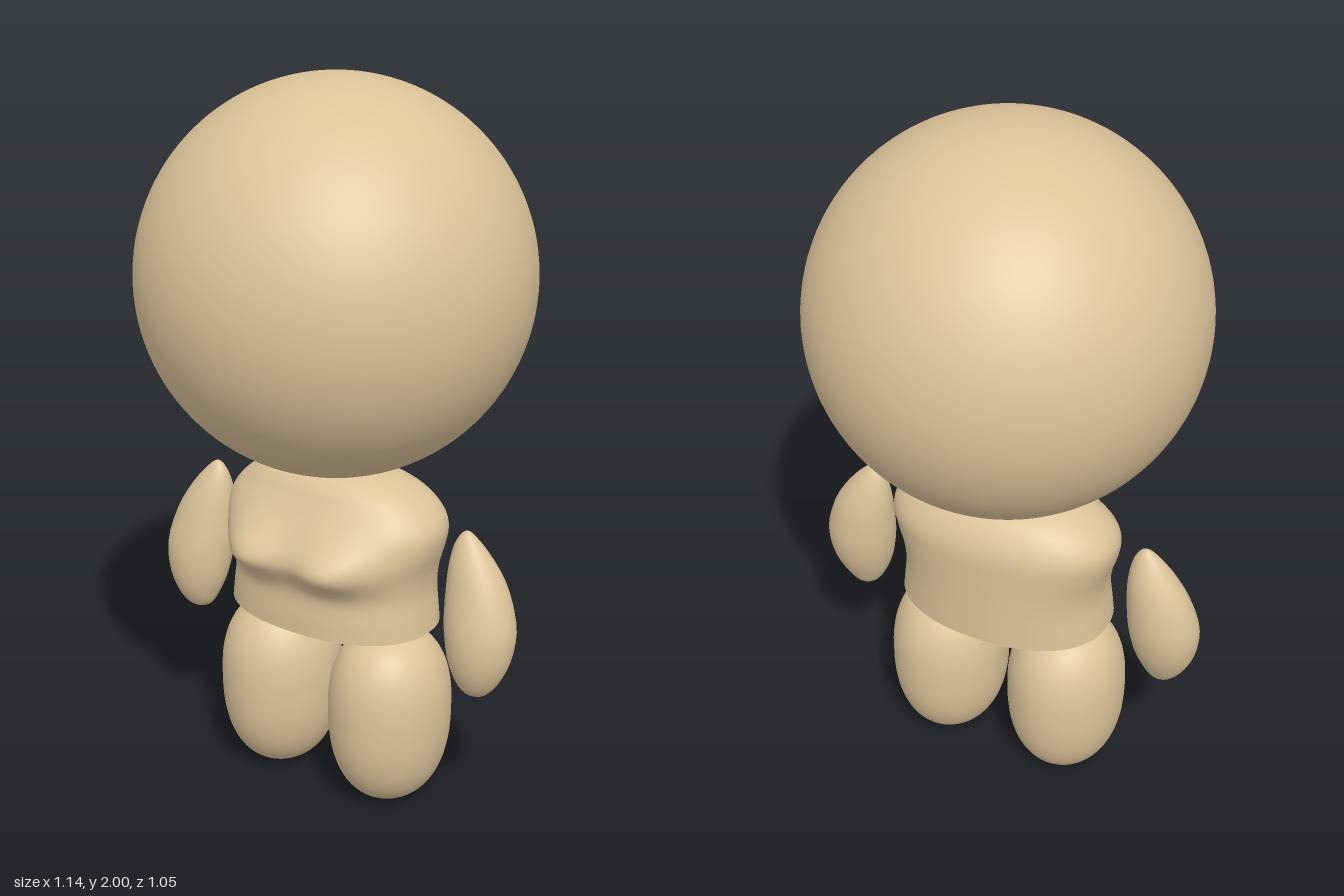
import * as THREE from 'three';

const tan = new THREE.MeshStandardMaterial({ color: 0xdcc49a });
tan.name = 'warm tan';

// Smooth closed loft, bottom to top. Each key: [y, xMin, xMax, zBack, zFront]
function loft(keys, power, rows, cols, shape) {
  const centre = new THREE.CatmullRomCurve3(keys.map(([y, a, b, c, d]) =>
    new THREE.Vector3((a + b) / 2, y, (c + d) / 2)), false, 'catmullrom');
  const radius = new THREE.CatmullRomCurve3(keys.map(([y, a, b, c, d]) =>
    new THREE.Vector3((b - a) / 2, y, (d - c) / 2)), false, 'catmullrom');
  const sq = (v) => Math.sign(v) * Math.pow(Math.abs(v), 2 / power);
  const pos = [], index = [];
  for (let i = 0; i <= rows; i++) {
    // rows crowd together at both ends so the tips stay round
    const t = 0.5 - 0.5 * Math.cos(Math.PI * i / rows);
    const c = centre.getPoint(t), r = radius.getPoint(t);
    for (let j = 0; j < cols; j++) {
      const a = j / cols * Math.PI * 2;
      const p = new THREE.Vector3(c.x + Math.max(r.x, 0) * sq(Math.cos(a)), c.y,
        c.z + Math.max(r.z, 0) * sq(Math.sin(a)));
      if (shape) shape(p, Math.sin(a));
      pos.push(p.x, p.y, p.z);
      if (i < rows) {
        const n = (j + 1) % cols, k = i * cols;
        index.push(k + j, k + cols + j, k + n, k + n, k + cols + j, k + cols + n);
      }
    }
  }
  const g = new THREE.BufferGeometry();
  g.setAttribute('position', new THREE.Float32BufferAttribute(pos, 3));
  g.setIndex(index);
  g.computeVertexNormals();
  return g;
}

// Rounded capsule-like leg: a sphere swollen towards a superellipse
function legGeometry() {
  const pts = [], n = 2.4;
  for (let i = 0; i <= 40; i++) {
    const a = -Math.PI / 2 + Math.PI * i / 40;
    const s = Math.sin(a), c = Math.max(Math.cos(a), 0);
    const up = Math.sign(s) * Math.pow(Math.abs(s), 2 / n);
    pts.push(new THREE.Vector2(i % 40 ? Math.pow(c, 2 / n) : 0, 0.28 + up * (up > 0 ? 0.23 : 0.277)));
  }
  return new THREE.LatheGeometry(pts, 48).scale(0.165, 1, 0.181);
}

export function createModel() {
  const model = new THREE.Group();
  const add = (name, geometry, x = 0, y = 0, z = 0) => {
    const m = new THREE.Mesh(geometry, tan);
    m.name = name;
    m.position.set(x, y, z);
    model.add(m);
    return m;
  };

  add('head', new THREE.SphereGeometry(0.525, 96, 64), 0, 1.475, 0);

  // Torso with two soft chest swellings
  const torsoKeys = [
    [0.53, 0.305, -0.205, 0.21], [0.58, 0.299, -0.205, 0.209], [0.64, 0.293, -0.205, 0.205],
    [0.7, 0.3, -0.205, 0.205], [0.76, 0.318, -0.205, 0.2], [0.81, 0.326, -0.204, 0.185],
    [0.85, 0.313, -0.194, 0.165], [0.89, 0.275, -0.172, 0.14], [0.92, 0.225, -0.14, 0.12],
    [0.945, 0.15, -0.09, 0.09], [0.957, 0.07, -0.04, 0.045], [0.96, 0, 0, 0],
  ].map(([y, x, back, front]) => [y, -x, x, back, front]);
  const chest = (p, facing) => {
    if (facing <= 0) return;
    const v = (p.y - 0.735) / (p.y < 0.735 ? 0.055 : 0.075);
    const side = (cx) => Math.exp(-(((p.x - cx) / 0.11) ** 2));
    const fade = THREE.MathUtils.smoothstep(facing, 0, 0.6);
    p.z += 0.073 * Math.exp(-v * v) * (side(0.13) + side(-0.13)) * fade;
  };
  add('torso', loft(torsoKeys, 2.25, 64, 96, chest));

  // Flat underside following the torso outline
  const outline = [];
  for (let j = 0; j < 96; j++) {
    const a = j / 96 * Math.PI * 2, q = (v) => Math.sign(v) * Math.pow(Math.abs(v), 2 / 2.25);
    outline.push(new THREE.Vector2(0.305 * q(Math.cos(a)), 0.0025 + 0.2075 * q(Math.sin(a))));
  }
  add('torsoUnderside', new THREE.ShapeGeometry(new THREE.Shape(outline)).rotateX(Math.PI / 2), 0, 0.53, 0);

  // Teardrop arms and legs, one pair per side
  const armKeys = [
    [0.4, 0.468, 0.468, 0.015, 0.015], [0.405, 0.443, 0.491, -0.005, 0.036],
    [0.42, 0.425, 0.51, -0.02, 0.055], [0.45, 0.407, 0.533, -0.037, 0.073],
    [0.5, 0.387, 0.556, -0.06, 0.089], [0.56, 0.374, 0.568, -0.076, 0.094],
    [0.62, 0.367, 0.565, -0.081, 0.088], [0.7, 0.365, 0.539, -0.076, 0.068],
    [0.76, 0.368, 0.505, -0.063, 0.049], [0.81, 0.378, 0.467, -0.043, 0.027],
    [0.84, 0.393, 0.438, -0.026, 0.009], [0.851, 0.404, 0.424, -0.017, -0.002],
    [0.855, 0.414, 0.414, -0.01, -0.01],
  ];
  for (const [name, s] of [['left', 1], ['right', -1]]) {
    const keys = armKeys.map(([y, a, b, c, d]) => (s > 0 ? [y, a, b, c, d] : [y, -b, -a, c, d]));
    add(name + 'Arm', loft(keys, 2, 40, 40));
    add(name + 'Leg', legGeometry(), 0.184 * s, 0, 0.003);
  }
  return model;
}
